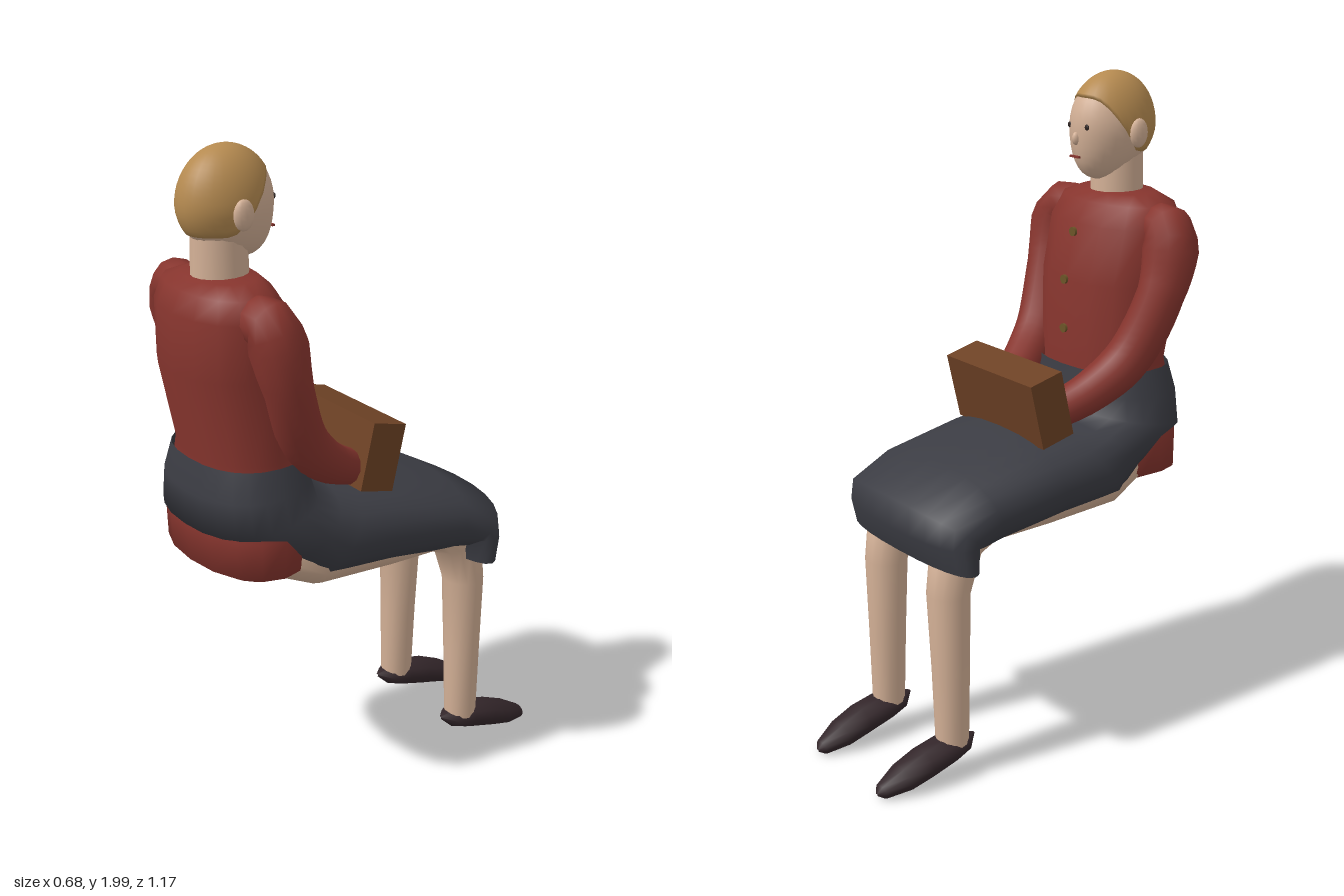
import * as THREE from 'three';
import { mergeVertices } from 'three/addons/utils/BufferGeometryUtils.js';

const mat = (name, color, side = THREE.FrontSide) => {
  const m = new THREE.MeshStandardMaterial({ color, side });
  m.name = name;
  return m;
};

// Skin over rings [centreX, halfWidth, backY, backZ, frontY, frontZ]; p < 1 makes boxier sections
function loft(rings, n, p = 1) {
  const pos = [], index = [];
  const bend = (v) => Math.sign(v) * Math.abs(v) ** p;
  rings.forEach(([cx, rx, ay, az, by, bz], i) => {
    for (let j = 0; j < n; j++) {
      const a = (j / n) * Math.PI * 2, c = bend(Math.cos(a)), s = bend(Math.sin(a));
      pos.push(cx + rx * c, (ay + by) / 2 + ((by - ay) / 2) * s, (az + bz) / 2 + ((bz - az) / 2) * s);
      if (i === 0) continue;
      const k = (j + 1) % n, lo = (i - 1) * n, hi = i * n;
      index.push(lo + j, lo + k, hi + k, lo + j, hi + k, hi + j);
    }
  });
  const g = new THREE.BufferGeometry();
  g.setAttribute('position', new THREE.Float32BufferAttribute(pos, 3));
  g.setIndex(index);
  g.computeVertexNormals();
  return g;
}

// Egg-shaped head; limit(facing) gives the polar angle where the shell stops
function headShell(grow, limit) {
  const g = new THREE.SphereGeometry(1, 28, 18);
  const p = g.attributes.position;
  for (let i = 0; i < p.count; i++) {
    const x = p.getX(i), z = p.getZ(i), r = Math.hypot(x, z);
    const facing = r > 1e-5 ? -z / r : 0;
    const t = (Math.acos(THREE.MathUtils.clamp(p.getY(i), -1, 1)) / Math.PI) * limit(facing);
    const y = Math.cos(t), s = Math.sin(t), low = Math.max(0, -y);
    const dx = r > 1e-5 ? x / r : 0, dz = r > 1e-5 ? z / r : 0;
    p.setXYZ(i, dx * s * (0.105 - 0.015 * low) * grow, 1.843 + y * 0.155 * grow,
      0.402 + dz * s * 0.14 * grow - 0.045 * low * low);
  }
  g.deleteAttribute('uv');
  g.deleteAttribute('normal');
  const merged = mergeVertices(g, 1e-5);
  merged.computeVertexNormals();
  return merged;
}

// Tube whose radius follows a list of values
function taperedTube(points, radii, steps, sides) {
  const path = new THREE.CatmullRomCurve3(points.map((q) => new THREE.Vector3(...q)));
  const g = new THREE.TubeGeometry(path, steps, 1, sides);
  const p = g.attributes.position, v = new THREE.Vector3();
  for (let i = 0; i <= steps; i++) {
    const c = path.getPointAt(i / steps), f = (i / steps) * (radii.length - 1);
    const k = Math.min(Math.floor(f), radii.length - 2);
    const r = THREE.MathUtils.lerp(radii[k], radii[k + 1], f - k);
    for (let j = 0; j <= sides; j++) {
      const id = i * (sides + 1) + j;
      v.fromBufferAttribute(p, id).sub(c).multiplyScalar(r).add(c);
      p.setXYZ(id, v.x, v.y, v.z);
    }
  }
  return g;
}

export function createModel() {
  const group = new THREE.Group();
  const skin = mat('skin', 0xd3b096), hair = mat('hair', 0xb58a50);
  const red = mat('red cloth', 0x87352e), grey = mat('grey cloth', 0x3b3c43, THREE.DoubleSide);
  const shoe = mat('shoe leather', 0x33262a), wood = mat('brown box', 0x6e4225);
  const brass = mat('button', 0x6b5428), dark = mat('eye', 0x2c2220);
  const add = (name, geometry, material, x = 0, y = 0, z = 0) => {
    const m = new THREE.Mesh(geometry, material);
    m.name = name;
    m.position.set(x, y, z);
    group.add(m);
    return m;
  };

  // Torso, from the seat up to the collar
  const torso = [
    [0.72, 0.01, 0.37, 0.35], [0.77, 0.14, 0.46, 0.3], [0.83, 0.262, 0.55, 0.25],
    [0.94, 0.262, 0.558, 0.23], [1.04, 0.235, 0.545, 0.23], [1.15, 0.212, 0.535, 0.228],
    [1.4, 0.225, 0.587, 0.228], [1.565, 0.23, 0.58, 0.27], [1.625, 0.205, 0.555, 0.31],
    [1.652, 0.13, 0.52, 0.335], [1.655, 0.005, 0.43, 0.42],
  ];
  add('torso', loft(torso.map(([y, rx, b, f]) => [0, rx, y, b, y, f]), 16, 0.92), red);

  // Skirt, from the hem over the lap to the waist
  add('skirt', loft([
    [0, 0.295, 0.685, -0.265, 0.685, -0.385],
    [0, 0.295, 0.76, -0.245, 0.765, -0.415],
    [0, 0.294, 0.72, -0.22, 0.855, -0.412],
    [0, 0.292, 0.71, -0.19, 0.94, -0.26],
    [0, 0.288, 0.73, 0.05, 0.99, -0.03],
    [0, 0.282, 0.74, 0.29, 1.005, 0.08],
    [0, 0.28, 0.83, 0.37, 1.012, 0.15],
    [0, 0.268, 0.945, 0.563, 1.02, 0.2],
    [0, 0.245, 1.05, 0.563, 1.07, 0.212],
    [0, 0.218, 1.14, 0.543, 1.14, 0.222],
  ], 24, 0.85), grey);

  // Buttons down the chest
  for (const [y, z] of [[1.25, 0.226], [1.4, 0.226], [1.54, 0.258]]) {
    const b = add('button', new THREE.CylinderGeometry(0.014, 0.014, 0.009, 10), brass, 0, y, z);
    b.rotation.x = Math.PI / 2;
  }

  // Neck, head and hair
  const neck = add('neck', new THREE.CylinderGeometry(0.072, 0.076, 0.16, 16), skin, 0, 1.7, 0.425);
  neck.scale.z = 1.1;
  add('head', headShell(1, () => Math.PI), skin);
  add('hair', headShell(1.025, (facing) =>
    THREE.MathUtils.degToRad(125 - 67 * THREE.MathUtils.smoothstep(facing, -0.4, 1))), hair);
  const nose = add('nose', new THREE.SphereGeometry(0.014, 10, 8), skin, 0, 1.815, 0.265);
  nose.scale.set(0.8, 1.4, 1);
  add('mouth', new THREE.BoxGeometry(0.04, 0.006, 0.008), red, 0, 1.762, 0.262);

  for (const s of [-1, 1]) {
    const ear = add('ear', new THREE.SphereGeometry(1, 12, 10), skin, s * 0.108, 1.83, 0.412);
    ear.scale.set(0.016, 0.043, 0.032);
    const eye = add('eye', new THREE.SphereGeometry(0.009, 8, 6), dark, s * 0.038, 1.85, 0.273);
    eye.scale.z = 0.5;

    // Sleeve bending forward to the box
    add('arm', taperedTube([
      [s * 0.17, 1.565, 0.43], [s * 0.24, 1.56, 0.42], [s * 0.26, 1.42, 0.39],
      [s * 0.215, 1.2, 0.3], [s * 0.17, 1.1, 0.19], [s * 0.11, 1.03, 0.06],
    ], [0.065, 0.084, 0.07, 0.07, 0.068, 0.06, 0.052], 24, 12), red);

    // Shin, knee and thigh in one skin
    add('leg', loft([
      [s * 0.168, 0.048, 0.1, -0.27, 0.1, -0.37],
      [s * 0.165, 0.056, 0.35, -0.265, 0.35, -0.377],
      [s * 0.16, 0.066, 0.59, -0.26, 0.59, -0.386],
      [s * 0.16, 0.07, 0.7, -0.22, 0.75, -0.37],
      [s * 0.16, 0.08, 0.72, -0.18, 0.87, -0.24],
      [s * 0.16, 0.1, 0.725, 0, 0.92, 0],
      [s * 0.155, 0.105, 0.735, 0.25, 0.94, 0.25],
      [s * 0.14, 0.08, 0.79, 0.38, 0.93, 0.38],
      [s * 0.14, 0.005, 0.86, 0.41, 0.87, 0.41],
    ], 14), skin);

    // Shoe, from toe to heel
    add('shoe', loft([
      [s * 0.162, 0.004, 0.022, -0.585, 0.028, -0.585],
      [s * 0.163, 0.03, 0.01, -0.565, 0.05, -0.572],
      [s * 0.166, 0.056, 0.018, -0.49, 0.09, -0.505],
      [s * 0.168, 0.06, 0.035, -0.42, 0.122, -0.43],
      [s * 0.168, 0.058, 0.06, -0.33, 0.138, -0.355],
      [s * 0.168, 0.045, 0.08, -0.275, 0.135, -0.29],
      [s * 0.168, 0.004, 0.112, -0.242, 0.12, -0.242],
    ], 10), shoe);
  }

  // Box held on the lap
  const box = add('box', new THREE.BoxGeometry(0.408, 0.203, 0.115), wood, 0, 1.082, 0.02);
  box.rotation.x = -0.235;

  return group;
}
